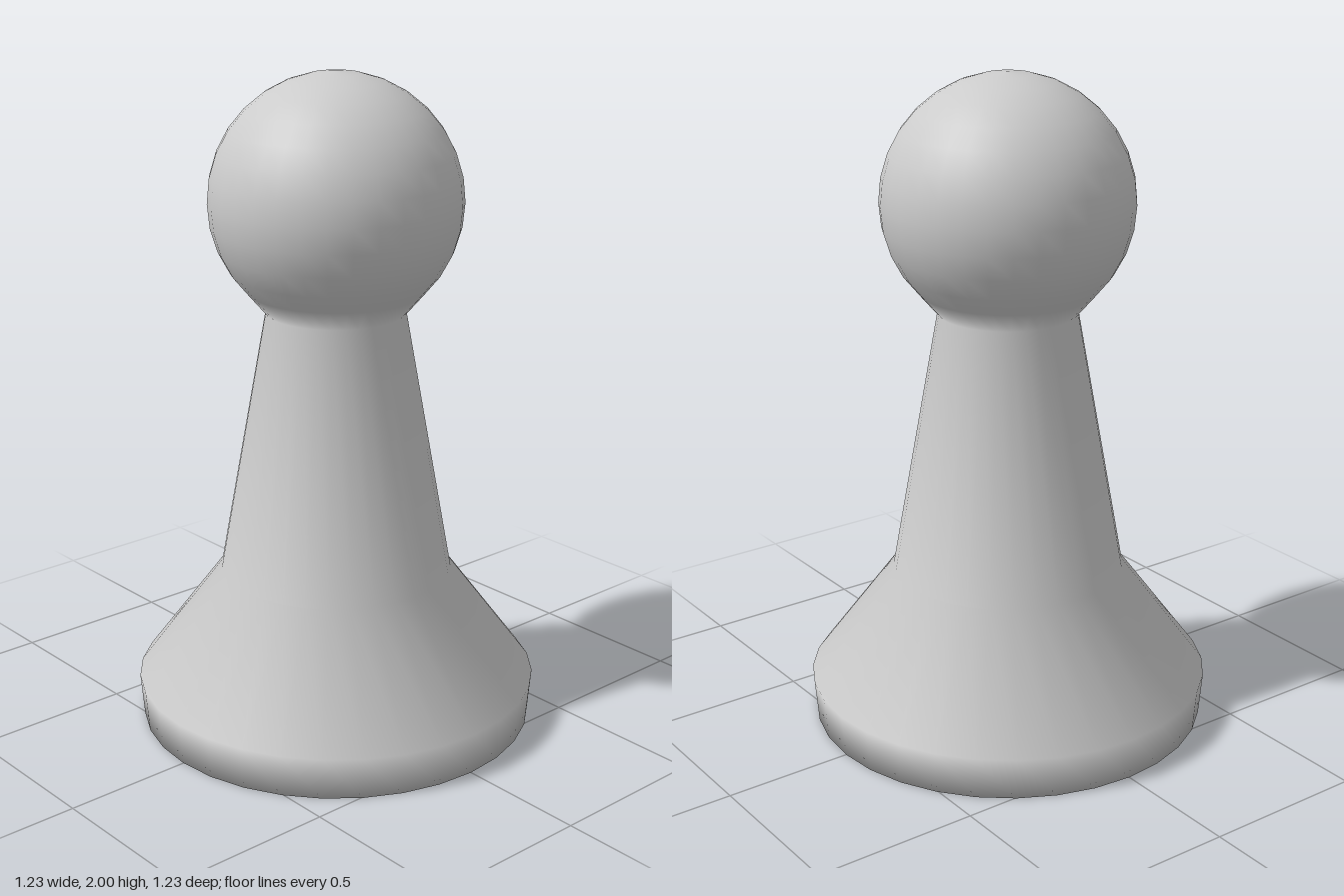
import * as THREE from 'three';

export function createModel() {
  const group = new THREE.Group();
  const material = new THREE.MeshStandardMaterial({ color: 0xcccccc });

  // Foot, flared base and tapering stem, closed underneath
  const points = [
    [0, 0], [0.606, 0], [0.617, 0.13], [0.355, 0.48], [0.21, 1.29],
  ].map(([r, y]) => new THREE.Vector2(r, y));

  // Ball head, swept from the neck up to the crown
  const radius = 0.377, centre = 2 - radius, steps = 12;
  for (let i = 0; i <= steps; i++) {
    const a = Math.PI * (0.25 + 0.75 * i / steps);
    const r = i === steps ? 0 : radius * Math.sin(a);
    points.push(new THREE.Vector2(r, centre - radius * Math.cos(a)));
  }

  // One continuous smooth turning
  const pawn = new THREE.Mesh(new THREE.LatheGeometry(points, 32), material);
  pawn.name = 'pawnBody';
  group.add(pawn);
  return group;
}
